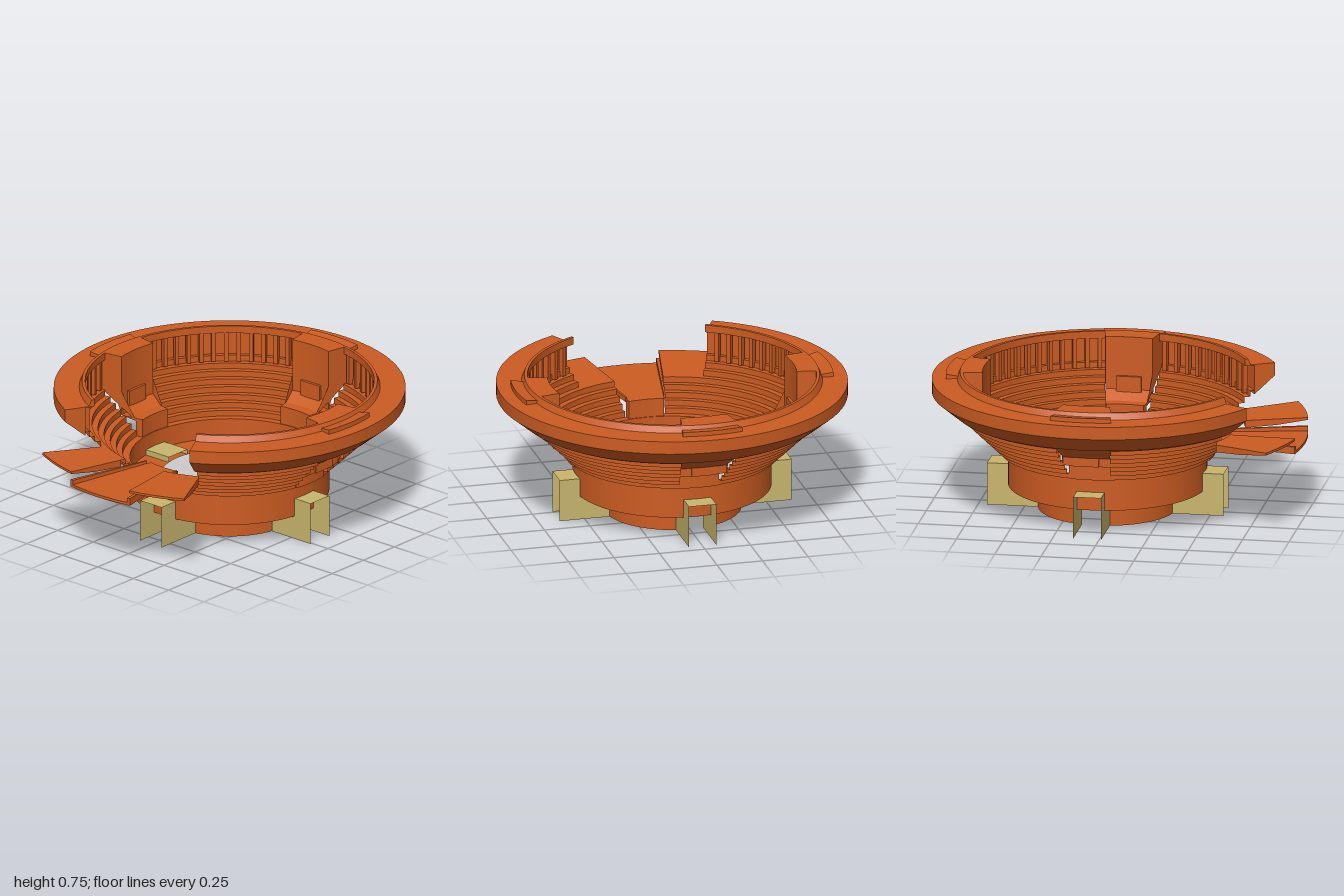
import * as THREE from 'three';
import { toCreasedNormals } from 'three/addons/utils/BufferGeometryUtils.js';

const orange = new THREE.MeshStandardMaterial({ color: 0xcc5c22, side: THREE.DoubleSide });
const khaki = new THREE.MeshStandardMaterial({ color: 0xc8b56e, side: THREE.DoubleSide });
const grey = new THREE.MeshStandardMaterial({ color: 0xcccccc, side: THREE.DoubleSide });
const rad = THREE.MathUtils.degToRad;

function add(parent, name, geometry, material) {
  const mesh = new THREE.Mesh(geometry, material);
  mesh.name = name;
  parent.add(mesh);
  return mesh;
}

// Sweeps a profile of [radius, height] from angle a to b in degrees (0 = front).
function sweep(parent, name, profile, a, b, closed = true) {
  const pts = profile.map(([r, y]) => new THREE.Vector2(r, y));
  const ring = closed ? [...pts, pts[0].clone()] : pts;
  const segments = Math.max(3, Math.ceil((b - a) / 4));
  const lathe = new THREE.LatheGeometry(ring, segments, rad(a), rad(b - a));
  const group = new THREE.Group();
  group.name = name;
  parent.add(group);
  add(group, name + 'Surface', toCreasedNormals(lathe, rad(25)), orange);
  if (closed && b - a < 360) {
    for (const end of [a, b]) {
      const cap = new THREE.ShapeGeometry(new THREE.Shape(pts));
      cap.rotateY(rad(end - 90));
      add(group, name + 'End', cap, orange);
    }
  }
  return group;
}

// Stepped seating profile between two step numbers
function steps(from, to) {
  const p = [];
  for (let i = from; i < to; i++) {
    const r = 0.57 + i * 0.0325, y = 0.31 + i * 0.032;
    p.push([r, y], [r, y + 0.032]);
    p.push([r + 0.0325, y + 0.032]);
  }
  return p;
}

export function createModel() {
  const model = new THREE.Group();
  const arena = new THREE.Group();
  arena.name = 'arena';
  arena.position.z = -0.065;
  model.add(arena);

  // Arena floor and pit wall
  sweep(arena, 'floorSlab', [[0.001, 0.13], [0.53, 0.13], [0.53, 0.2], [0.001, 0.2]], 0, 360);
  const sand = new THREE.CircleGeometry(0.37, 64);
  sand.rotateX(-Math.PI / 2);
  add(arena, 'arenaFloor', sand, grey).position.y = 0.204;
  sweep(arena, 'pitWall', [[0.53, 0.13], [0.53, 0.31], [0.57, 0.31]], 0, 360, false);

  // Base wall with four passages
  for (let q = 0; q < 4; q++) {
    sweep(arena, 'baseWall', [[0.37, 0], [0.37, 0.13]], q * 90 + 11.7, q * 90 + 78.3, false);
  }

  // Entrance tunnels: a roof and two side walls
  for (let q = 0; q < 4; q++) {
    const tunnel = new THREE.Group();
    tunnel.name = 'entranceTunnel';
    tunnel.rotation.y = q * Math.PI / 2;
    arena.add(tunnel);
    const roof = new THREE.PlaneGeometry(0.15, 0.275);
    roof.rotateX(-Math.PI / 2);
    add(tunnel, 'tunnelRoof', roof, khaki).position.set(0, 0.23, 0.5);
    for (const s of [-1, 1]) {
      const side = new THREE.PlaneGeometry(0.275, 0.23);
      side.rotateY(s * Math.PI / 2);
      add(tunnel, 'tunnelSide', side, khaki).position.set(s * 0.075, 0.115, 0.5);
    }
  }

  // Seating: lower tiers in every quadrant, upper tiers stopping at the front opening
  for (let q = 0; q < 4; q++) {
    const a = q * 90 + 11, b = q * 90 + 79;
    sweep(arena, 'lowerSeats', steps(0, 5), a, b, false);
    sweep(arena, 'upperSeats', steps(5, 8), q === 0 ? 28 : a, q === 3 ? 332 : b, false);
  }

  // Rim with its back wall and raised inner lip
  sweep(arena, 'rim', [
    [0.82, 0.545], [0.935, 0.64], [0.935, 0.71], [0.80, 0.71], [0.785, 0.745],
    [0.768, 0.745], [0.768, 0.705], [0.82, 0.705],
  ], 28, 332);

  // Gallery pillars under the rim
  for (let q = 0; q < 4; q++) {
    for (let i = 0; i < 14; i++) {
      const angle = q * 90 + 13 + i * 64 / 13;
      if (angle < 29 || angle > 331) continue;
      const pillar = add(arena, 'galleryPillar', new THREE.BoxGeometry(0.022, 0.165, 0.03), orange);
      pillar.position.set(Math.sin(rad(angle)) * 0.79, 0.622, Math.cos(rad(angle)) * 0.79);
      pillar.rotation.y = rad(angle);
    }
  }

  // Gate towers at both sides and the back, each with a ledge and a door
  for (const angle of [90, 180, 270]) {
    sweep(arena, 'gateTower', [
      [0.535, 0.31], [0.535, 0.41], [0.665, 0.41], [0.665, 0.745], [0.77, 0.745],
      [0.77, 0.72], [0.86, 0.735], [0.86, 0.58], [0.82, 0.56], [0.575, 0.395], [0.575, 0.31],
    ], angle - 11, angle + 11);
    const door = add(arena, 'gateDoor', new THREE.BoxGeometry(0.135, 0.12, 0.02), orange);
    door.position.set(Math.sin(rad(angle)) * 0.658, 0.47, Math.cos(rad(angle)) * 0.658);
    door.rotation.y = rad(angle);
  }

  // Front ramp and the raised wings beside it
  sweep(arena, 'frontRamp', [
    [0.535, 0.31], [0.535, 0.41], [1.065, 0.415], [1.065, 0.4], [0.575, 0.395], [0.575, 0.31],
  ], -10.3, 10.3);
  for (const [a, b] of [[11, 28], [-28, -11]]) {
    sweep(arena, 'frontWing', [
      [0.73, 0.43], [0.73, 0.47], [1.065, 0.485], [1.065, 0.472], [0.9, 0.445],
    ], a, b);
  }
  // Sloping strips joining wings and ramp
  for (const s of [-1, 1]) {
    sweep(arena, 'rampKerb', [[0.56, 0.4], [0.56, 0.425], [1.065, 0.44], [1.065, 0.4]],
      s > 0 ? 10.3 : -11.3, s > 0 ? 11.3 : -10.3);
  }
  return model;
}
